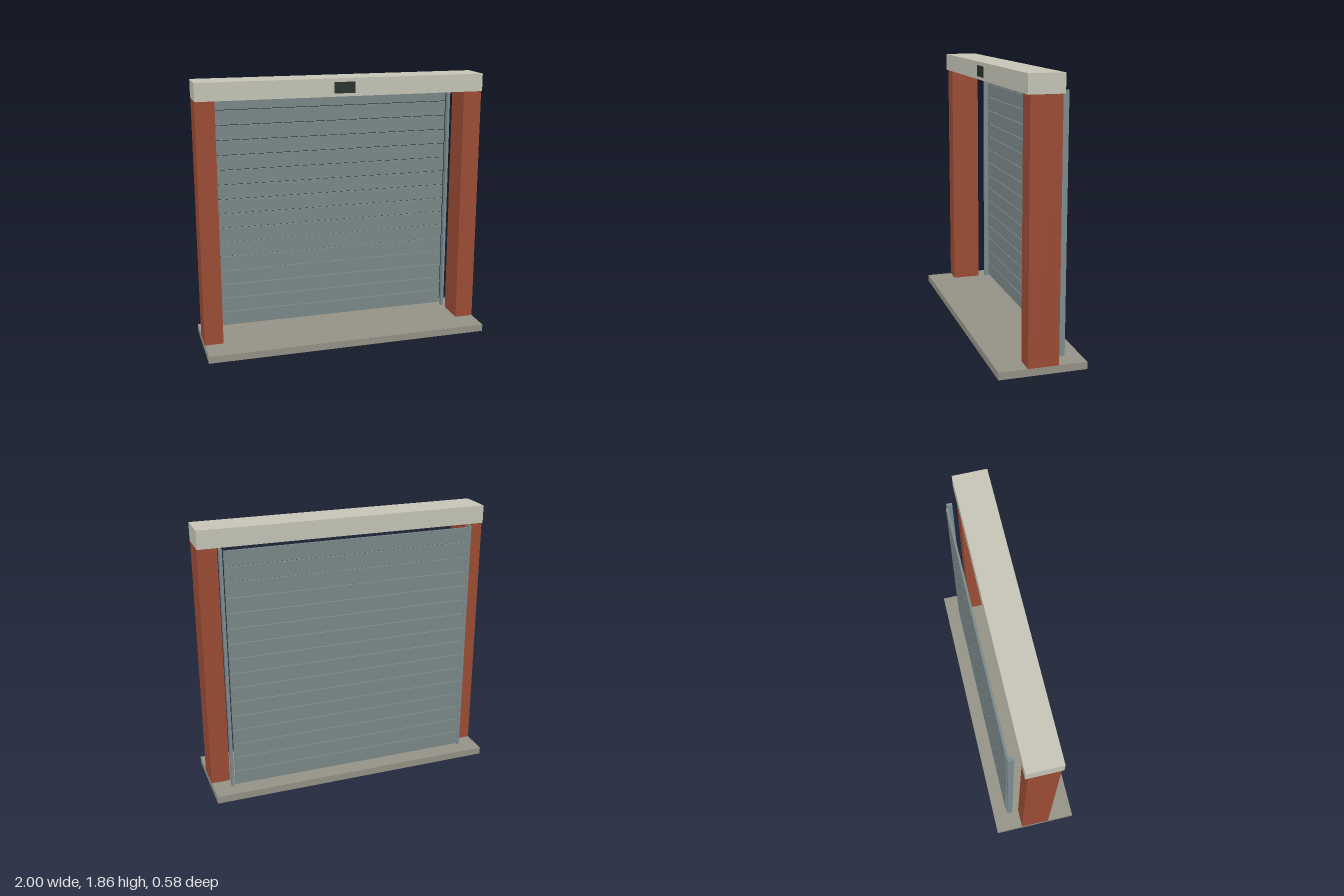
import * as THREE from 'three';

const paint = (name, color) => {
  const m = new THREE.MeshStandardMaterial({ color });
  m.name = name;
  return m;
};

export function createModel() {
  const concrete = paint('concrete', 0x949286);
  const brick = paint('brick', 0x9b4c34);
  const stone = paint('pale stone', 0xc5c4b6);
  const slatGrey = paint('slat grey', 0x7a8888);
  const railGrey = paint('rail grey', 0x7c8c90);
  const dark = paint('dark plate', 0x29312f);

  const group = new THREE.Group();
  group.name = 'rollerDoorGate';

  // Box given by its lower and upper corners
  const box = (name, material, [x0, y0, z0], [x1, y1, z1]) => {
    const mesh = new THREE.Mesh(new THREE.BoxGeometry(x1 - x0, y1 - y0, z1 - z0), material);
    mesh.position.set((x0 + x1) / 2, (y0 + y1) / 2, (z0 + z1) / 2);
    mesh.name = name;
    group.add(mesh);
  };

  // Floor slab, lintel and its sign plate
  box('floorSlab', concrete, [-1, 0, -0.292], [1, 0.05, 0.292]);
  box('lintel', stone, [-1, 1.735, -0.117], [1, 1.857, 0.117]);
  box('signPlate', dark, [-0.073, 1.757, 0.115], [0.073, 1.832, 0.122]);

  // Pillars and guide rails on both sides
  for (const [side, s] of [['left', 1], ['right', -1]]) {
    const pair = (a, b) => [Math.min(s * a, s * b), Math.max(s * a, s * b)];
    const [p0, p1] = pair(0.87, 1);
    box(side + 'Pillar', brick, [p0, 0.05, -0.102], [p1, 1.735, 0.102]);
    const [r0, r1] = pair(0.857, 0.876);
    box(side + 'GuideRail', railGrey, [r0, 0.05, -0.187], [r1, 1.743, -0.15]);
  }

  // Shutter slats with narrow gaps
  const count = 16, bottom = 0.067, pitch = 0.1045, height = 0.099;
  for (let i = 0; i < count; i++) {
    const y = bottom + i * pitch;
    box('shutterSlat' + (i + 1), slatGrey, [-0.85, y, -0.195], [0.85, y + height, -0.18]);
  }
  return group;
}
